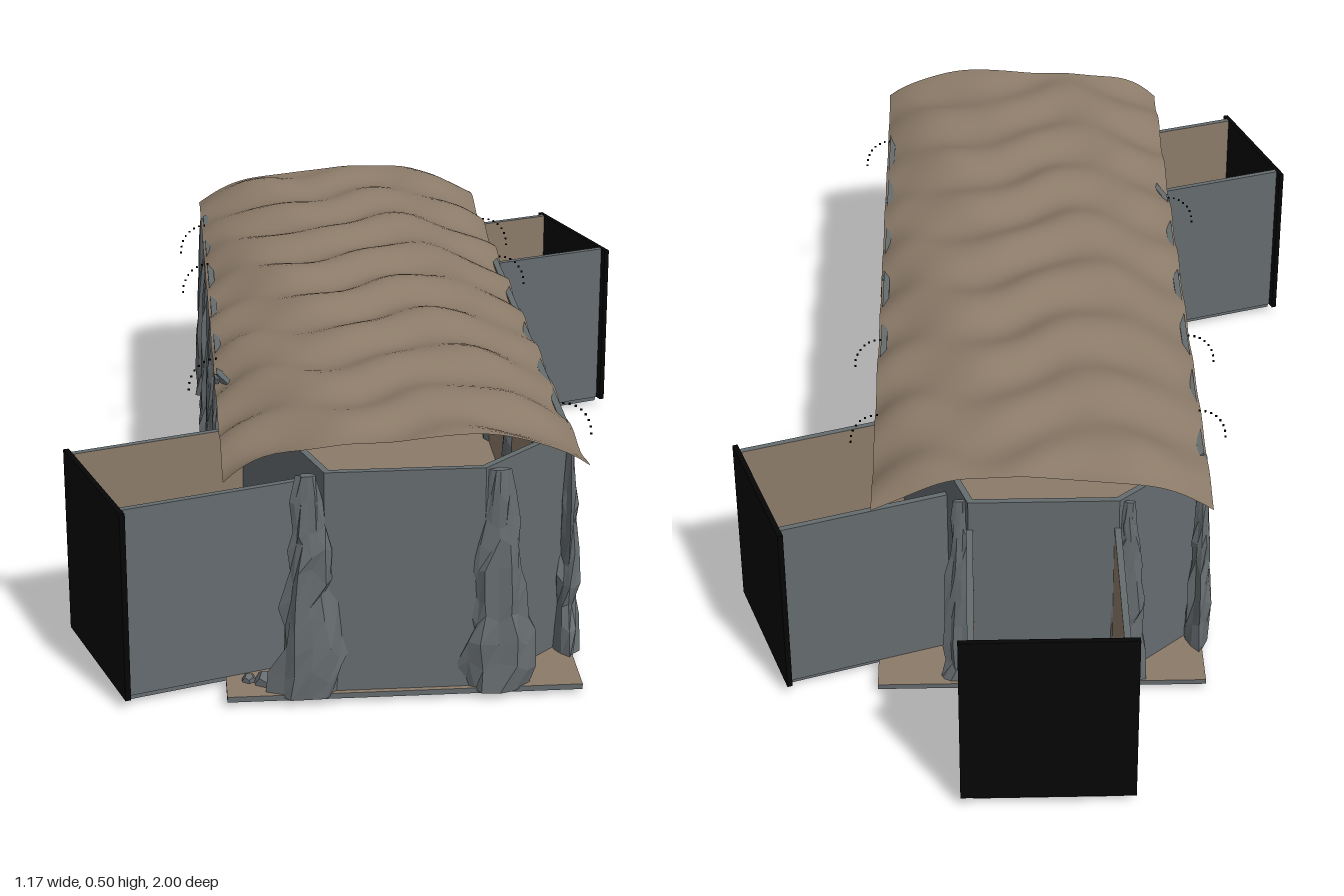
import * as THREE from 'three';

const mat = (name, color, extra = {}) => {
  const m = new THREE.MeshStandardMaterial({ color, ...extra });
  m.name = name;
  return m;
};

export function createModel() {
  const root = new THREE.Group();
  root.name = 'caveHall';
  const stone = mat('greyStone', 0x656c6f);
  const rock = mat('greyRock', 0x666c6f, { flatShading: true });
  const earth = mat('brownEarth', 0x8c7b69);
  const roofEarth = mat('roofEarth', 0x8c7b69, { side: THREE.DoubleSide });
  const black = mat('black', 0x050505);
  const puddle = mat('blueGreyPatch', 0x6c7780);

  let seed = 7;
  const rnd = () => (seed = (seed * 16807) % 2147483647) / 2147483647;

  const add = (parent, name, geo, material, x = 0, y = 0, z = 0) => {
    const m = new THREE.Mesh(geo, material);
    m.name = name;
    m.position.set(x, y, z);
    parent.add(m);
    return m;
  };
  const box = (w, h, d) => new THREE.BoxGeometry(w, h, d);

  // Floor slab: earth on top, stone elsewhere (px, nx, py, ny, pz, nz)
  const floorMats = [stone, stone, earth, stone, stone, stone];
  add(root, 'hallFloor', box(0.62, 0.01, 1.66), floorMats, 0, 0.005, 0.15);

  // Eight-sided hall plan; some sides carry a side tunnel
  const plan = [
    [-0.14, 0.97], [0.135, 0.97], [0.305, 0.81], [0.305, -0.18],
    [0.135, -0.67], [-0.14, -0.67], [-0.305, -0.52], [-0.305, 0.48],
  ];
  const tunnelSides = [3, 4, 7];
  const T = 0.012;

  // Open-topped tunnel running along local +z, closed by a black plate
  const buildTunnel = (parent) => {
    const len = 0.32, half = 0.135, h = 0.35;
    const g = new THREE.Group();
    g.name = 'sideTunnel';
    add(g, 'tunnelFloor', box(2 * half, 0.009, len), floorMats, 0, 0.0045, len / 2);
    add(g, 'tunnelWallA', box(T, h, len), [stone, earth, stone, stone, stone, stone], half, 0.01 + h / 2, len / 2);
    add(g, 'tunnelWallB', box(T, h, len), [earth, stone, stone, stone, stone, stone], -half, 0.01 + h / 2, len / 2);
    add(g, 'tunnelEnd', box(0.315, h, 0.01), black, 0, 0.01 + h / 2, len + 0.005);
    // Thin irregular patches on the tunnel floor
    [[-0.09, 0.29, 0.028, 0.02], [0.06, 0.27, 0.024, 0.04], [-0.02, 0.3, 0.025, 0.012],
      [-0.09, 0.03, 0.03, 0.018], [0.08, 0.03, 0.035, 0.016]].forEach(([x, z, rx, rz]) => {
      const p = add(g, 'floorPatch', new THREE.CircleGeometry(1, 12), puddle, x, 0.0105, z);
      p.rotation.x = -Math.PI / 2;
      p.scale.set(rx, rz, 1);
    });
    parent.add(g);
  };

  plan.forEach(([ax, az], i) => {
    const [bx, bz] = plan[(i + 1) % plan.length];
    const length = Math.hypot(bx - ax, bz - az);
    const mx = (ax + bx) / 2, mz = (az + bz) / 2;
    let nx = bz - az, nz = ax - bx;
    if (nx * mx + nz * (mz - 0.15) < 0) { nx = -nx; nz = -nz; }
    const side = new THREE.Group();
    side.name = 'hallSide';
    side.position.set(mx, 0, mz);
    side.rotation.y = Math.atan2(nx, nz);
    add(side, 'hallWall', box(length, 0.41, T), [stone, stone, stone, stone, stone, earth], 0, 0.215, -T / 2);
    if (tunnelSides.includes(i)) buildTunnel(side);
    root.add(side);
  });

  // Craggy rock pillar: tapered column with jittered vertices
  const pillar = (x, z, angle, size = 1) => {
    const sides = 12, rows = 9, pos = [], idx = [];
    for (let r = 0; r <= rows; r++) {
      const t = r / rows;
      const radius = (0.052 * (1 - t) ** 0.8 + 0.018) * size;
      const lean = (rnd() - 0.5) * 0.008;
      for (let s = 0; s < sides; s++) {
        const a = (s / sides) * Math.PI * 2;
        const k = radius * (0.72 + 0.45 * rnd()) * (s % 2 ? 0.88 : 1);
        const dy = r && r < rows ? (rnd() - 0.5) * 0.035 : 0;
        pos.push(Math.cos(a) * k + lean, 0.41 * t + dy + 0.005, Math.sin(a) * k * 0.48);
      }
    }
    for (let r = 0; r < rows; r++) {
      for (let s = 0; s < sides; s++) {
        const a = r * sides + s, b = r * sides + (s + 1) % sides;
        idx.push(a, a + sides, b, b, a + sides, b + sides);
      }
    }
    for (let s = 1; s < sides - 1; s++) idx.push(rows * sides, rows * sides + s + 1, rows * sides + s);
    const geo = new THREE.BufferGeometry();
    geo.setAttribute('position', new THREE.Float32BufferAttribute(pos, 3));
    geo.setIndex(idx);
    geo.computeVertexNormals();
    add(root, 'rockPillar', geo, rock, x, 0, z).rotation.y = angle;
  };
  for (const z of [0.81, 0.48, 0.15, -0.19]) pillar(0.303, z, Math.PI / 2, 0.85);
  for (const z of [0.48, 0.15, -0.2, -0.53]) pillar(-0.303, z, -Math.PI / 2, 0.85);
  pillar(-0.165, 0.965, 0);
  pillar(0.16, 0.965, 0);
  pillar(-0.16, -0.665, Math.PI, 0.6);
  pillar(0.15, -0.655, Math.PI, 0.6);

  // Small rubble by the front corner
  [[-0.24, 0.93, 0.022], [-0.27, 0.92, 0.013], [0.2, 0.95, 0.012]].forEach(([x, z, r]) => {
    add(root, 'rubble', new THREE.DodecahedronGeometry(r), rock, x, 0.012, z);
  });

  // Rippled, gently domed roof sheet
  const roof = new THREE.PlaneGeometry(0.62, 1.66, 36, 96);
  roof.rotateX(-Math.PI / 2);
  const p = roof.attributes.position;
  for (let i = 0; i < p.count; i++) {
    const x = p.getX(i), z = p.getZ(i), u = Math.abs(x / 0.31);
    const wave = 0.008 * Math.sin(z * 31 + 5 * x + 1.2 * Math.sin(x * 17))
      + 0.006 * Math.sin(x * 25 + z * 9) * Math.cos(z * 19 - x * 8);
    p.setY(i, 0.413 + 0.066 * (1 - u ** 3.5) + wave);
  }
  roof.computeVertexNormals();
  add(root, 'roof', roof, roofEarth, 0, 0, 0.15);

  // Dotted arcs of specks beside the roof edge
  const speck = box(0.004, 0.003, 0.003);
  const arcs = [[1, -0.4], [-1, -0.4], [1, -0.13], [-1, -0.13], [-1, 0.44], [1, 0.72]];
  for (const [s, z] of arcs) {
    for (let k = 0; k < 8; k++) {
      const a = (k / 7) * Math.PI * 0.5;
      add(root, 'speck', speck, black, s * (0.305 + 0.052 * Math.cos(a)), 0.375 + 0.06 * Math.sin(a), z);
    }
  }
  return root;
}
